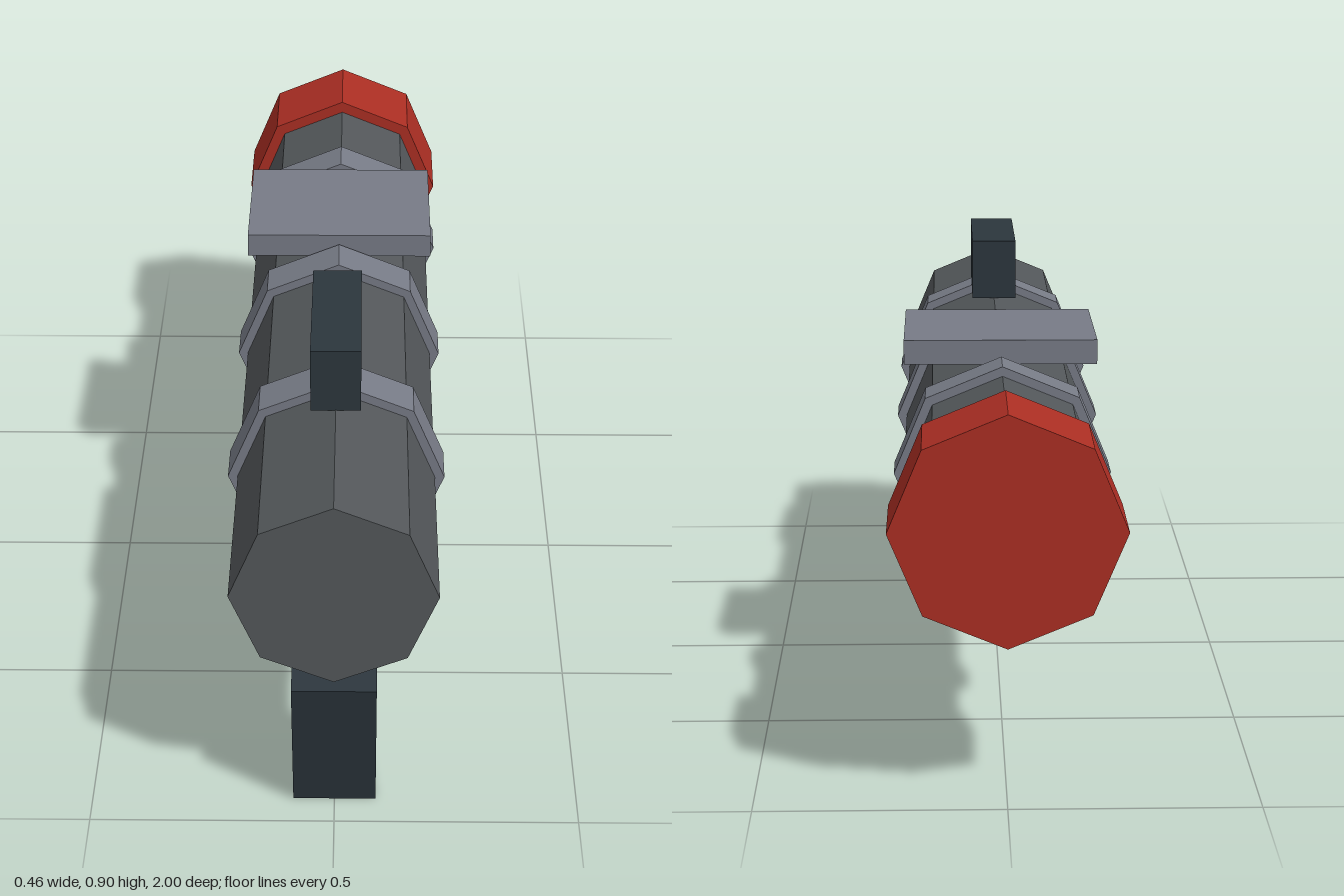
import * as THREE from 'three';

const AXIS_Y = 0.562;

export function createModel() {
  const model = new THREE.Group();
  model.name = 'launcher';

  const material = (name, color) => {
    const m = new THREE.MeshStandardMaterial({ color });
    m.name = name;
    return m;
  };
  const tubeGrey = material('tubeGrey', 0x53575a);
  const bandGrey = material('bandGrey', 0x777b86);
  const darkSlate = material('darkSlate', 0x2c363d);
  const red = material('red', 0xab2e23);

  const add = (name, geometry, mat, x, y, z) => {
    const mesh = new THREE.Mesh(geometry, mat);
    mesh.name = name;
    mesh.position.set(x, y, z);
    model.add(mesh);
    return mesh;
  };

  // Flat-faced octagonal drum along z, with a corner pointing straight up
  const drum = (name, radius, z0, z1, mat) => {
    const g = new THREE.CylinderGeometry(radius, radius, z1 - z0, 8).toNonIndexed();
    g.rotateX(Math.PI / 2);
    g.computeVertexNormals();
    return add(name, g, mat, 0, AXIS_Y, (z0 + z1) / 2);
  };

  // Box given by width and its y and z ranges
  const block = (name, width, y0, y1, z0, z1, mat) =>
    add(name, new THREE.BoxGeometry(width, y1 - y0, z1 - z0), mat, 0, (y0 + y1) / 2, (z0 + z1) / 2);

  // Barrel and rear cap
  drum('barrel', 0.205, -0.9, 1, tubeGrey);
  drum('rearCap', 0.232, -1, -0.795, red);

  // Reinforcing bands
  for (const z of [0.522, 0.01, -0.503]) drum('band', 0.225, z - 0.049, z + 0.049, bandGrey);

  // Top fittings
  block('shoulderPlate', 0.41, 0.755, 0.807, -0.382, -0.045, bandGrey);
  block('sight', 0.102, 0.766, 0.903, 0.302, 0.642, darkSlate);

  // Underside fittings
  block('triggerHousing', 0.105, 0.274, 0.376, 0.56, 0.73, darkSlate);
  block('trigger', 0.06, 0.224, 0.37, 0.378, 0.434, darkSlate);

  // Raked grip
  const grip = add('grip', new THREE.BoxGeometry(0.17, 0.34, 0.166), darkSlate, 0, 0.184, 0.883);
  grip.rotation.x = 0.21;

  return model;
}
